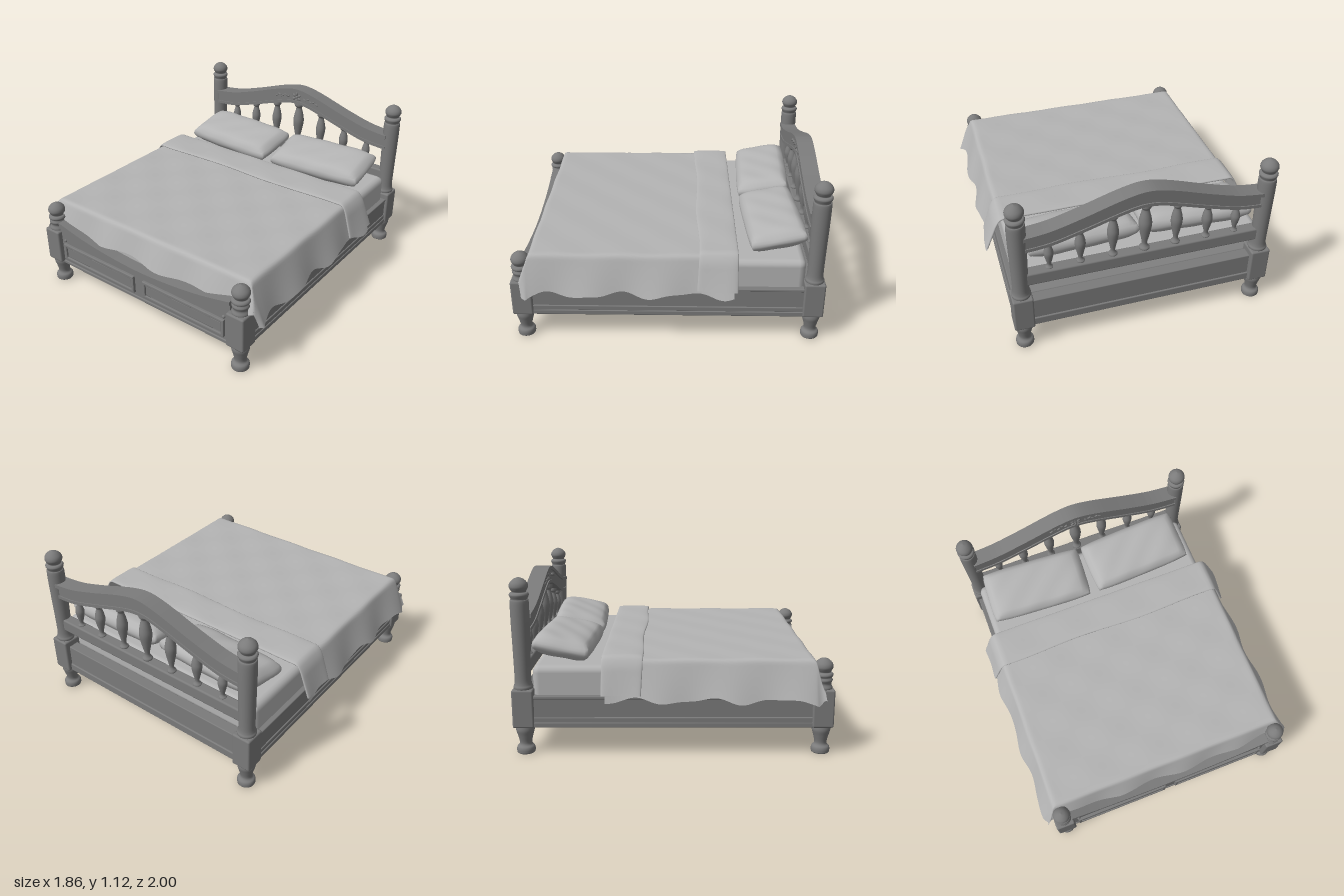
import * as THREE from 'three';
import { mergeVertices } from 'three/addons/utils/BufferGeometryUtils.js';
import { RoundedBoxGeometry } from 'three/addons/geometries/RoundedBoxGeometry.js';

const material = (name, color, side = THREE.FrontSide) => {
  const m = new THREE.MeshStandardMaterial({ color, side });
  m.name = name;
  return m;
};
const V2 = (x, y) => new THREE.Vector2(x, y);

export function createModel() {
  const wood = material('greyWood', 0x7b7b7b);
  const cloth = material('lightCloth', 0xb4b4b4, THREE.DoubleSide);
  const model = new THREE.Group();
  model.name = 'bed';

  const add = (name, geo, mat, x = 0, y = 0, z = 0) => {
    const m = new THREE.Mesh(geo, mat);
    m.name = name;
    m.position.set(x, y, z);
    model.add(m);
    return m;
  };
  // Box given by its limits
  const box = (name, mat, x0, x1, y0, y1, z0, z1, r = 0.006) =>
    add(name, new RoundedBoxGeometry(x1 - x0, y1 - y0, z1 - z0, 2, r), mat,
      (x0 + x1) / 2, (y0 + y1) / 2, (z0 + z1) / 2);
  const lathe = (points, sides = 28) =>
    new THREE.LatheGeometry(new THREE.SplineCurve(points.map(p => V2(...p))).getPoints(points.length * 5)
      .map(p => V2(Math.max(p.x, 0), p.y)), sides);

  // Mirrored curve through [x, y] points on the +x half, from the middle outwards
  const mirrored = half => new THREE.SplineCurve([
    ...half.slice(1).reverse().map(([x, y]) => V2(-x, y)), ...half.map(([x, y]) => V2(x, y))]).getPoints(48);
  const strip = (name, lower, upper, z0, z1) => {
    const shape = new THREE.Shape([...lower, ...upper.slice().reverse()]);
    return add(name, new THREE.ExtrudeGeometry(shape, { depth: z1 - z0, bevelEnabled: false }), wood, 0, 0, z0);
  };
  const shifted = (pts, dy) => pts.map(p => V2(p.x, p.y + dy));

  // Corner posts: turned leg, square block, turned top
  const leg = lathe([[0, 0], [0.05, 0.002], [0.058, 0.02], [0.055, 0.042], [0.041, 0.058], [0.039, 0.078],
    [0.049, 0.12], [0.058, 0.155], [0.056, 0.185]]);
  const finial = y => [[0.058, y - 0.115], [0.06, y - 0.105], [0.054, y - 0.095], [0.043, y - 0.09],
    [0.051, y - 0.075], [0.058, y - 0.057], [0.052, y - 0.034], [0.03, y - 0.012], [0, y]];
  const frontTop = lathe([[0.05, 0.41], [0.058, 0.43], [0.05, 0.45], [0.05, 0.462], [0.057, 0.48],
    [0.05, 0.497], ...finial(0.62)]);
  const headTop = lathe([[0.055, 0.41], [0.061, 0.435], [0.054, 0.455], [0.051, 0.5], [0.053, 0.65],
    [0.057, 0.85], [0.057, 0.97], [0.05, 0.985], ...finial(1.12)]);
  for (const s of [-1, 1]) {
    for (const [end, z, top] of [['front', 0.932, frontTop], ['head', -0.932, headTop]]) {
      const x = s * 0.79;
      add(end + 'Leg', leg, wood, x, 0, z);
      add(end + 'Post', top, wood, x, 0, z);
      box(end + 'PostBlock', wood, x - 0.065, x + 0.065, 0.18, 0.425, z - 0.067, z + 0.067, 0.012);
    }
    // Side rails with a stepped lower moulding
    const rail = (name, inner, outer, y0, y1) =>
      box(name, wood, Math.min(s * inner, s * outer), Math.max(s * inner, s * outer), y0, y1, -0.9, 0.9);
    rail('sideRail', 0.78, 0.833, 0.185, 0.38);
    rail('sideRailMoulding', 0.78, 0.845, 0.18, 0.214);
    rail('sideRailBead', 0.79, 0.84, 0.21, 0.246);
    rail('sideRailCap', 0.79, 0.838, 0.362, 0.382);
  }

  // Headboard: lower rail, spindle rail and arched top
  box('backRail', wood, -0.76, 0.76, 0.185, 0.38, -0.965, -0.89);
  box('backRailMoulding', wood, -0.76, 0.76, 0.18, 0.235, -0.975, -0.89);
  box('spindleRail', wood, -0.77, 0.77, 0.51, 0.6, -0.965, -0.89, 0.012);
  const archTop = mirrored([[0, 1.073], [0.08, 1.064], [0.2, 1.032], [0.4, 0.966], [0.6, 0.91], [0.775, 0.888]]);
  const archLow = mirrored([[0, 0.958], [0.08, 0.95], [0.2, 0.918], [0.4, 0.855], [0.6, 0.8], [0.775, 0.783]]);
  strip('archBoard', archLow, archTop, -0.965, -0.88);
  strip('archCap', shifted(archTop, -0.022), shifted(archTop, 0.003), -0.98, -0.868);
  strip('archLowerBead', shifted(archLow, -0.002), shifted(archLow, 0.02), -0.972, -0.873);
  const spindles = [[0, 0.955, 0.042], [0.205, 0.915, 0.037], [0.41, 0.852, 0.034], [0.605, 0.8, 0.03]];
  for (const [x, top, r] of spindles) {
    const h = top - 0.595;
    const geo = lathe([[0.7, 0], [0.8, 0.04], [0.5, 0.09], [0.42, 0.16], [0.75, 0.35], [1, 0.55], [0.85, 0.7],
      [0.55, 0.85], [0.62, 0.89], [0.85, 0.93], [0.85, 1.01]].map(([a, b]) => [a * r, b * h]), 20);
    for (const s of x ? [-1, 1] : [1]) add('spindle', geo, wood, s * x, 0.595, -0.925);
  }

  // Carved flower and leaf sprays on the arch
  const bead = new THREE.SphereGeometry(1, 10, 8);
  const carve = (name, x, y, w, h, turn) => {
    const m = add(name, bead, wood, x, y, -0.88);
    m.scale.set(w, h, 0.008);
    m.rotation.z = turn;
  };
  carve('flowerCentre', 0, 1.008, 0.011, 0.011, 0);
  for (let i = 0; i < 6; i++) {
    const a = Math.PI / 6 + i * Math.PI / 3;
    carve('petal', Math.cos(a) * 0.027, 1.008 + Math.sin(a) * 0.027, 0.016, 0.01, a);
  }
  for (const s of [-1, 1]) for (let i = 0; i < 5; i++)
    carve('leaf', s * (0.075 + i * 0.027), 1.007 - i * 0.004 + (i % 2 ? 0.006 : -0.006), 0.016, 0.005,
      s * (i % 2 ? 0.4 : -0.6));

  // Footboard with dipped top, cap, base moulding and two framed panels
  const dip = mirrored([[0, 0.395], [0.25, 0.407], [0.5, 0.438], [0.735, 0.488]]);
  strip('footboard', [V2(-0.735, 0.17), V2(0.735, 0.17)], dip, 0.905, 0.965);
  strip('footboardCap', shifted(dip, -0.025), shifted(dip, 0.003), 0.895, 0.975);
  box('footboardBase', wood, -0.735, 0.735, 0.165, 0.19, 0.895, 0.972);
  const rect = (T, w, h) => new T([V2(-w, -h), V2(w, -h), V2(w, h), V2(-w, h)]);
  const frame = rect(THREE.Shape, 0.324, 0.058);
  frame.holes.push(rect(THREE.Path, 0.312, 0.046));
  const frameGeo = new THREE.ExtrudeGeometry(frame,
    { depth: 0.014, bevelSize: 0.005, bevelThickness: 0.005, bevelSegments: 2 });
  for (const s of [-1, 1]) {
    add('panelFrame', frameGeo, wood, s * 0.368, 0.278, 0.965);
    box('panel', wood, s * 0.368 - 0.304, s * 0.368 + 0.304, 0.24, 0.316, 0.955, 0.977, 0.005);
    add('stud', new THREE.SphereGeometry(0.011, 14, 10), wood, s * 0.69, 0.362, 0.967);
  }

  // Recessed base board and mattress
  box('baseBoard', wood, -0.79, 0.79, 0.3, 0.33, -0.9, 0.91, 0.003);
  box('mattress', cloth, -0.805, 0.805, 0.325, 0.567, -0.875, 0.89, 0.045);

  // Pillows: a box puffed towards the middle, bowed along the front edge
  for (const s of [-1, 1]) {
    let geo = new THREE.BoxGeometry(2, 2, 2, 28, 4, 18);
    geo.deleteAttribute('normal');
    geo.deleteAttribute('uv');
    geo = mergeVertices(geo);
    const p = geo.attributes.position;
    for (let i = 0; i < p.count; i++) {
      const u = p.getX(i), v = p.getZ(i), w = p.getY(i);
      const h = 0.03 + 0.044 * Math.sqrt((1 - u ** 6) * (1 - v ** 4)) + 0.002 * Math.sin(u * 9 + v * 5 + s);
      const round = 1 - 0.04 * w * w;
      p.setXYZ(i, 0.366 * u * round * (1 - 0.025 * v * v * v * v), w * h,
        0.188 * v * round * (1 - 0.06 * u ** 4));
    }
    geo.computeVertexNormals();
    add('pillow', geo, cloth, s < 0 ? -0.395 : 0.372, 0.655, -0.687).rotation.set(0.19, s * 0.05, 0);
  }

  // Cloth draped over the mattress: s runs across, t along, lift raises it off the surface
  const ease = (d, r = 0.05) => d <= 0 ? 0 : d < r ? d * d / (2 * r) : d - r / 2;
  const drape = (s, t, lift) => {
    const side = ease(Math.abs(s) - 0.795), front = ease(t - 0.85);
    const lean = Math.min(side / 0.05, 1), sag = Math.max(side, front);
    const sway = side * 0.045 * Math.sin(t * 14 + (s > 0 ? 1 : 3));
    const x = Math.abs(s) - 0.66 * side + sway + lift * 0.9 * lean;
    const bumps = 0.003 * Math.sin(s * 15) * Math.sin(t * 15);
    return [Math.sign(s) * x, 0.615 + bumps * (1 - lean) - 0.93 * sag + lift * (1 - 0.6 * lean),
      t - 0.72 * front + front * 0.05 * Math.sin(s * 15)];
  };
  const sheet = (name, nu, nv, at) => {
    const geo = new THREE.PlaneGeometry(1, 1, nu, nv), p = geo.attributes.position;
    for (let i = 0; i < p.count; i++) p.setXYZ(i, ...at(p.getX(i) * 2, 0.5 - p.getY(i)));
    geo.computeVertexNormals();
    return add(name, geo, cloth);
  };
  sheet('blanket', 120, 90, (u, v) => {
    const hem = 0.016 * Math.sin(v * 21 + (u > 0 ? 0.5 : 2)) + 0.008 * Math.sin(v * 37) + 0.02 * v ** 6;
    const t = -0.42 + v * (1.49 + 0.015 * Math.sin(u * 11));
    return drape(u * (1.08 + hem), t, 0);
  });
  // Turned-back fold: a flat closed loop around the blanket's upper end
  sheet('blanketFold', 100, 32, (u, v) => {
    const a = v * Math.PI * 2, c = Math.cos(a), q = Math.sin(a);
    const t = -0.317 + 0.125 * Math.sign(c) * Math.abs(c) ** 0.6 + 0.008 * Math.sin(u * 7) * (c > 0 ? c : 0);
    return drape(u * 1.05, t, 0.012 + 0.012 * Math.sign(q) * Math.abs(q) ** 0.6);
  });
  return model;
}
